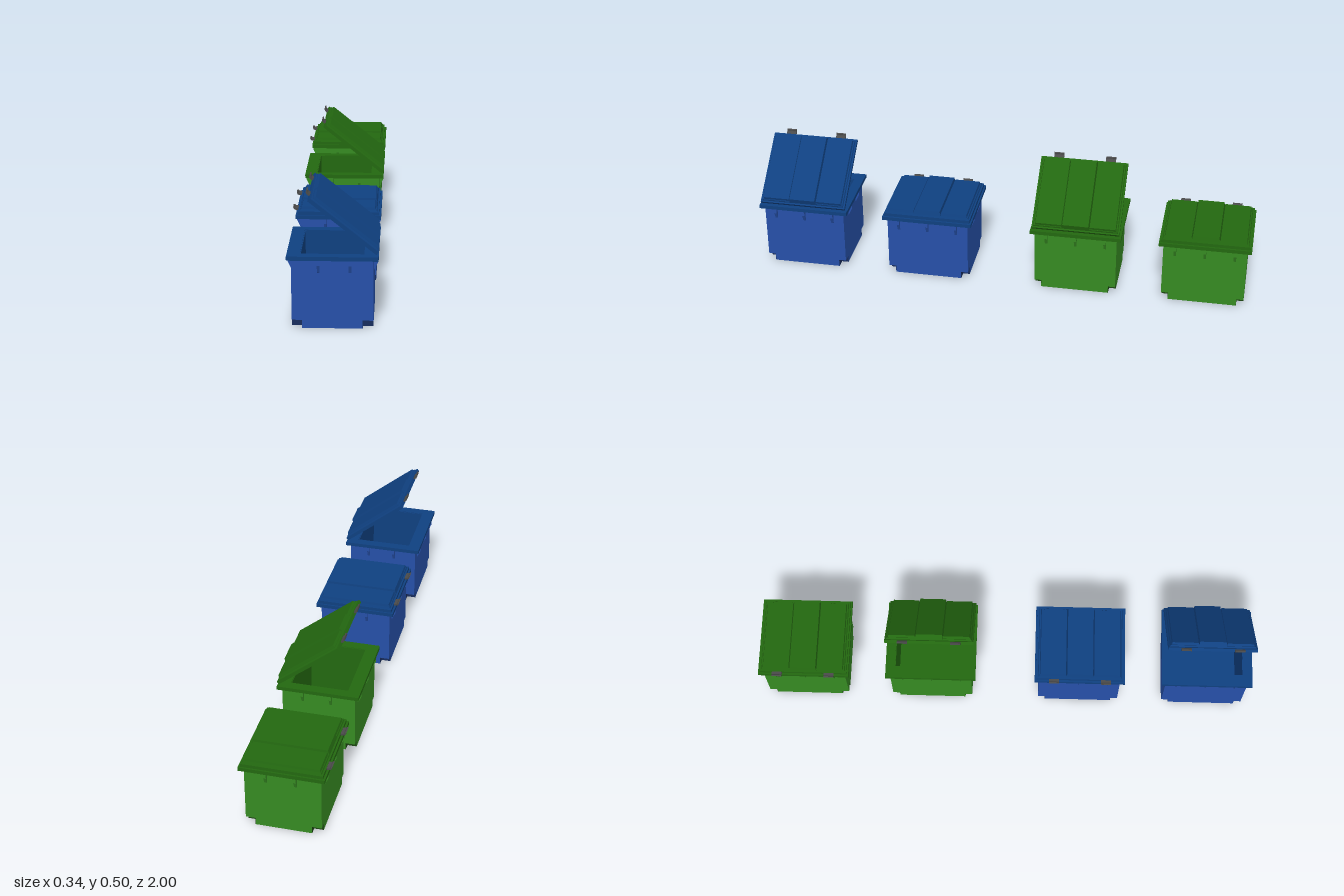
import * as THREE from 'three';

const mat = (name, color) => {
  const m = new THREE.MeshStandardMaterial({ color });
  m.name = name;
  return m;
};
const grey = mat('handle grey', 0x4a4a4a);
const palettes = {
  blue: { body: mat('body blue', 0x2650a8), lid: mat('lid blue', 0x0f4080), well: mat('well navy', 0x172c5c) },
  green: { body: mat('body green', 0x368a22), lid: mat('lid green', 0x236810), well: mat('well dark green', 0x1c4512) },
};

// Body extents (x is slightly off centre) and half depth
const X0 = -0.143, X1 = 0.147, HZ = 0.165;

function add(parent, name, geometry, material, x = 0, y = 0, z = 0) {
  const mesh = new THREE.Mesh(geometry, material);
  mesh.name = name;
  mesh.position.set(x, y, z);
  parent.add(mesh);
  return mesh;
}

const rect = (x0, x1, hz) => [[x0, -hz], [x1, -hz], [x1, hz], [x0, hz]].map(p => new THREE.Vector2(...p));

// Upright prism from a floor outline, with an optional hole
function prism(points, y0, y1, hole) {
  const shape = new THREE.Shape(points);
  if (hole) shape.holes.push(new THREE.Path(hole));
  return new THREE.ExtrudeGeometry(shape, { depth: y1 - y0, bevelEnabled: false })
    .rotateX(-Math.PI / 2).translate(0, y0, 0);
}

// Box whose top face is pulled in by a bevel
function bevelBox(x0, x1, y0, y1, z0, z1, bx, bz) {
  const g = new THREE.BoxGeometry(x1 - x0, y1 - y0, z1 - z0);
  const p = g.attributes.position;
  for (let i = 0; i < p.count; i++) {
    if (p.getY(i) > 0) {
      p.setX(i, p.getX(i) - Math.sign(p.getX(i)) * bx);
      p.setZ(i, p.getZ(i) - Math.sign(p.getZ(i)) * bz);
    }
  }
  g.translate((x0 + x1) / 2, (y0 + y1) / 2, (z0 + z1) / 2);
  g.computeVertexNormals();
  return g;
}

// Bracket under the rim, reaching out along +x from the wall
function ribGeometry(reach) {
  const shape = new THREE.Shape([[-0.002, 0.205], [0.002, 0.207], [reach, 0.236], [reach, 0.256], [-0.002, 0.256]]
    .map(p => new THREE.Vector2(...p)));
  return new THREE.ExtrudeGeometry(shape, { depth: 0.01, bevelEnabled: false }).translate(0, 0, -0.005);
}

// Curved hook grip, reaching out along -x
function handleGeometry() {
  const s = new THREE.Shape();
  s.moveTo(0.008, 0);
  s.lineTo(-0.010, 0);
  s.quadraticCurveTo(-0.019, 0.001, -0.021, 0.012);
  s.lineTo(-0.016, 0.013);
  s.quadraticCurveTo(-0.014, 0.007, -0.008, 0.007);
  s.lineTo(0.008, 0.007);
  return new THREE.ExtrudeGeometry(s, { depth: 0.04, bevelEnabled: false, curveSegments: 5 }).translate(0, 0, -0.02);
}

function buildTub(c) {
  const tub = new THREE.Group();
  tub.name = 'tub';
  const nx = 0.038, nz = 0.029, top = 0.03;
  const a = X0 + nx, b = X1 - nx, d = HZ - nz;

  // Foot with its four corners cut away
  const cross = [[a, -HZ], [b, -HZ], [b, -d], [X1, -d], [X1, d], [b, d], [b, HZ], [a, HZ], [a, d], [X0, d], [X0, -d], [a, -d]]
    .map(p => new THREE.Vector2(...p));
  add(tub, 'foot', prism(cross, 0, top), c.body);
  for (const sz of [-1, 1]) {
    for (const [sx, x] of [[-1, a], [1, b]]) {
      add(tub, 'cornerWellSide', new THREE.BoxGeometry(0.001, top, nz), c.well, x + sx * 0.0005, top / 2, sz * (HZ - nz / 2));
      add(tub, 'cornerWellEnd', new THREE.BoxGeometry(nx, top, 0.001), c.well, x + sx * nx / 2, top / 2, sz * (d + 0.0005));
    }
  }

  // Walls, inner lining, floor and rim
  const cavity = rect(-0.113, 0.117, 0.145), lining = rect(-0.11, 0.114, 0.142);
  add(tub, 'walls', prism(rect(X0, X1, HZ), top, 0.256, cavity), c.body);
  add(tub, 'lining', prism(cavity, 0.035, 0.268, lining), c.lid);
  add(tub, 'floor', prism(cavity, top, 0.036), c.lid);
  add(tub, 'rim', prism(rect(-0.16, 0.165, 0.1825), 0.255, 0.27, cavity), c.lid);

  // Brackets: three on each x side, two on each z side
  for (const z of [-0.118, 0, 0.118]) {
    add(tub, 'sideRib', ribGeometry(0.016), c.body, X1, 0, z);
    add(tub, 'sideRib', ribGeometry(0.016), c.body, X0, 0, z).rotation.y = Math.PI;
  }
  for (const x of [-0.047, 0.065]) {
    add(tub, 'endRib', ribGeometry(0.015), c.body, x, 0, HZ).rotation.y = -Math.PI / 2;
    add(tub, 'endRib', ribGeometry(0.015), c.body, x, 0, -HZ).rotation.y = Math.PI / 2;
  }
  return tub;
}

// Lid drawn from its hinge edge at x = 0 towards -x
function buildLid(c) {
  const lid = new THREE.Group();
  lid.name = 'lid';
  add(lid, 'lidFrame', prism(rect(-0.309, 0, 0.176), 0, 0.013, rect(-0.28, -0.03, 0.15)), c.lid);
  add(lid, 'lidStep', bevelBox(-0.303, -0.006, 0.012, 0.019, -0.17, 0.17, 0.003, 0.003), c.lid);
  for (const s of [-1, 1]) {
    const z = [s * 0.054, s * 0.163].sort((p, q) => p - q);
    add(lid, 'sidePanel', bevelBox(-0.298, -0.011, 0.018, 0.028, z[0], z[1], 0.004, 0.003), c.lid);
    add(lid, 'handle', handleGeometry(), grey, -0.309, 0.005, s * 0.105);
  }
  add(lid, 'middlePanel', bevelBox(-0.302, -0.007, 0.018, 0.035, -0.055, 0.055, 0.006, 0.003), c.lid);
  return lid;
}

function buildBin(name, c, z, open) {
  const bin = new THREE.Group();
  bin.name = name;
  bin.position.z = z;
  const lid = buildLid(c);
  lid.position.set(0.157, open ? 0.277 : 0.27, 0);
  lid.rotation.z = open ? -0.675 : 0;
  bin.add(buildTub(c), lid);
  return bin;
}

export function createModel() {
  const model = new THREE.Group();
  model.name = 'wasteBins';
  model.add(
    buildBin('openBlueBin', palettes.blue, 0.8175, true),
    buildBin('closedBlueBin', palettes.blue, 0.3025, false),
    buildBin('openGreenBin', palettes.green, -0.3025, true),
    buildBin('closedGreenBin', palettes.green, -0.8175, false),
  );
  return model;
}
